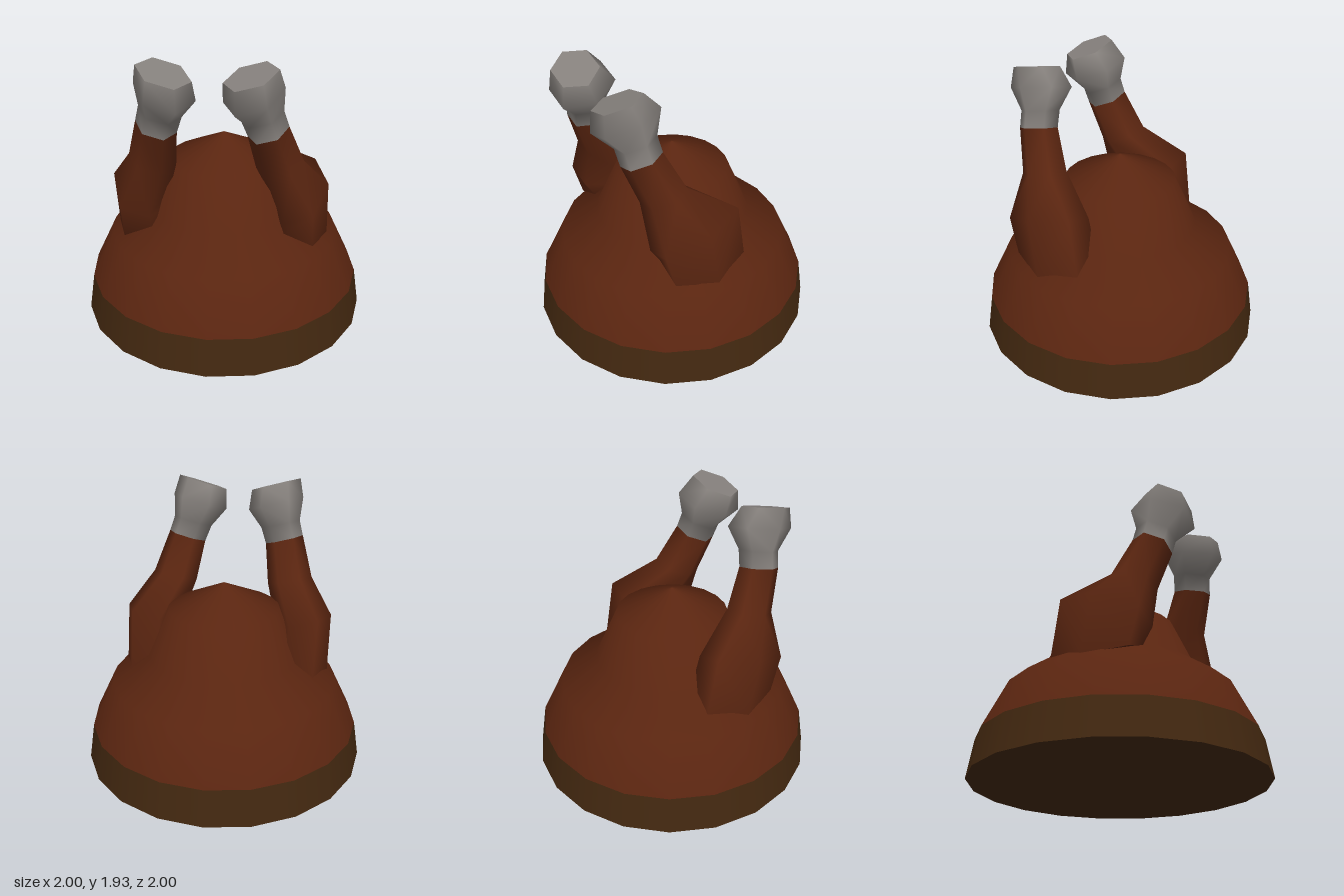
import * as THREE from 'three';

const material = (name, color) => {
  const m = new THREE.MeshStandardMaterial({ color });
  m.name = name;
  return m;
};

// Hexagonal cross-sections: [centre x, y, z, half width x, half depth z, tilt dy/dx, tilt dy/dz]
const MEAT_RINGS = [
  [0.545, 0.70, 0.11, 0.195, 0.28, -0.42, 0],
  [0.54, 0.97, 0.18, 0.19, 0.28, 0.3, -0.32],
  [0.405, 1.22, 0.33, 0.155, 0.13, 0.2, -0.27],
  [0.33, 1.49, 0.44, 0.13, 0.115, 0.28, -0.25],
];
const BONE_RINGS = [
  MEAT_RINGS[3],
  [0.29, 1.6, 0.455, 0.135, 0.115, 0.25, -0.25],
  [0.24, 1.74, 0.49, 0.19, 0.195, 0.28, -0.25],
  [0.225, 1.87, 0.535, 0.17, 0.135, 0.28, -0.25],
];

// Skins the rings; side = 1 or -1 mirrors, lean spreads the upper end outwards
function limbGeometry(rings, side, lean, capBottom, capTop) {
  const positions = [];
  const index = [];
  const face = (a, b, c) => (side > 0 ? index.push(a, b, c) : index.push(a, c, b));
  const addRing = ([cx, cy, cz, rx, rz, tx, tz]) => {
    const start = positions.length / 3;
    for (let i = 0; i < 6; i++) {
      const angle = (i * Math.PI) / 3;
      const dx = rx * Math.cos(angle);
      const dz = (rz * Math.sin(angle)) / Math.sin(Math.PI / 3);
      const y = cy + dx * tx + dz * tz;
      positions.push(side * (cx + dx + lean * Math.max(0, y - 0.8)), y, cz + dz);
    }
    return start;
  };
  const starts = rings.map(addRing);
  for (let r = 0; r < rings.length - 1; r++) {
    for (let i = 0; i < 6; i++) {
      const j = (i + 1) % 6;
      const a = starts[r] + i, b = starts[r] + j;
      const c = starts[r + 1] + i, d = starts[r + 1] + j;
      face(a, c, b);
      face(b, c, d);
    }
  }
  // Caps use their own vertices so that their rims stay sharp
  if (capBottom) {
    const s = addRing(rings[0]);
    for (let i = 1; i < 5; i++) face(s, s + i, s + i + 1);
  }
  if (capTop) {
    const s = addRing(rings[rings.length - 1]);
    for (let i = 1; i < 5; i++) face(s, s + i + 1, s + i);
  }
  const g = new THREE.BufferGeometry();
  g.setAttribute('position', new THREE.Float32BufferAttribute(positions, 3));
  g.setIndex(index);
  g.computeVertexNormals();
  return g;
}

export function createModel() {
  const roast = material('roasted meat', 0x5a2510);
  const crust = material('dark base', 0x432810);
  const bone = material('bone grey', 0x85807c);
  const model = new THREE.Group();
  model.name = 'roastBird';
  const add = (parent, name, geometry, mat) => {
    const mesh = new THREE.Mesh(geometry, mat);
    mesh.name = name;
    parent.add(mesh);
    return mesh;
  };

  // Tapered base band
  add(model, 'base', new THREE.CylinderGeometry(0.96, 1, 0.26, 20), crust).position.y = 0.13;

  // Rounded body with a waist below its crown
  const profile = [[0.96, 0.26], [0.8, 0.595], [0.54, 0.785], [0.39, 1.12], [0, 1.305]];
  add(model, 'body',
    new THREE.LatheGeometry(profile.map(([x, y]) => new THREE.Vector2(x, y)), 20), roast);

  // Two legs, the right one leaning slightly wider
  for (const [name, side, lean] of [['leftLeg', 1, 0], ['rightLeg', -1, 0.075]]) {
    const leg = new THREE.Group();
    leg.name = name;
    add(leg, 'drumstick', limbGeometry(MEAT_RINGS, side, lean, true, false), roast);
    add(leg, 'boneEnd', limbGeometry(BONE_RINGS, side, lean, false, true), bone);
    model.add(leg);
  }
  return model;
}
